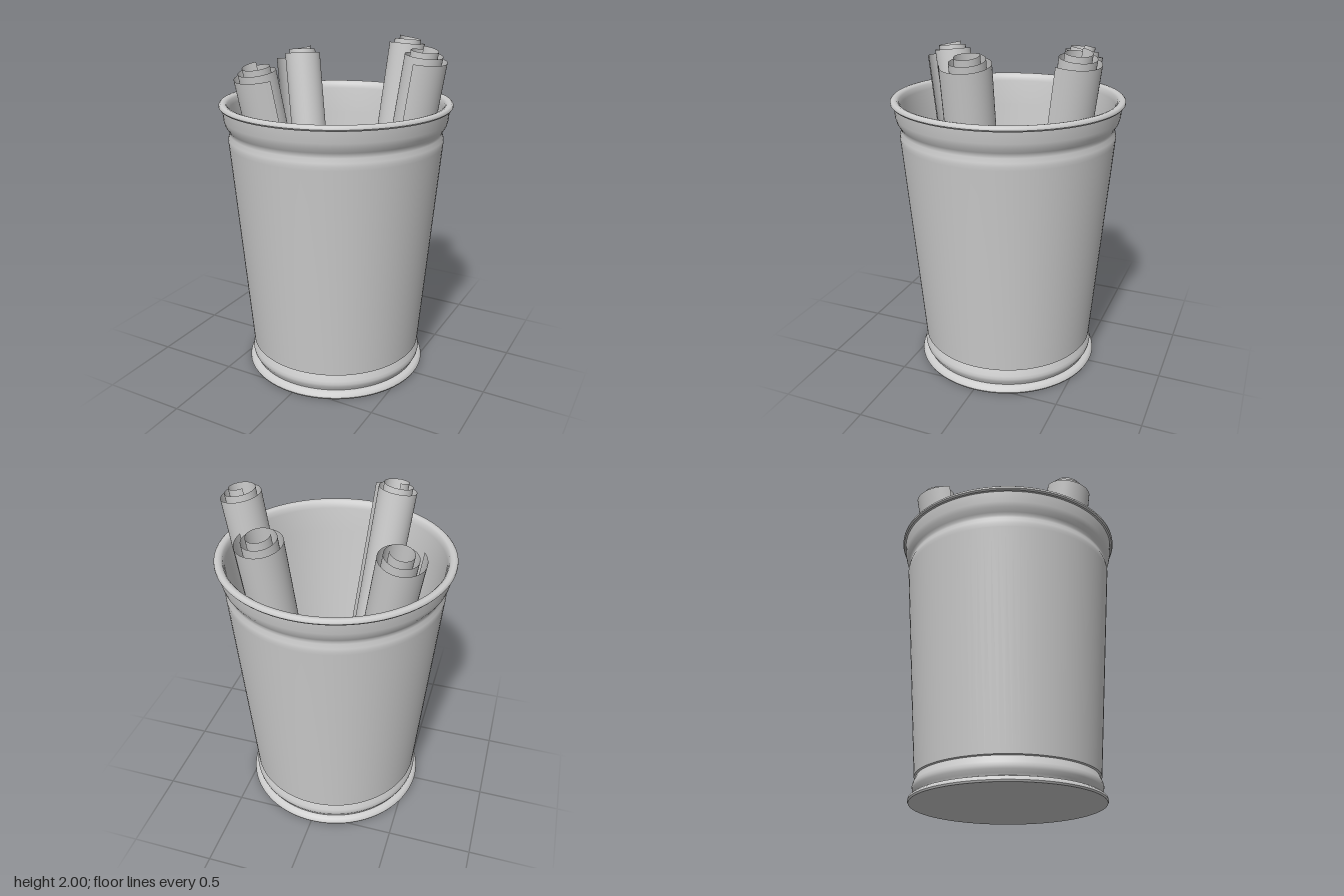
import * as THREE from 'three';
import { toCreasedNormals } from 'three/addons/utils/BufferGeometryUtils.js';

const grey = new THREE.MeshStandardMaterial({ color: 0xcccccc });
grey.name = 'light grey';
const greySheet = grey.clone();
greySheet.side = THREE.DoubleSide;

// Tapered bin: outside from the base up, over the rolled rim, down the inside to the floor
function createBin() {
  const profile = [
    [0, 0], [0.55, 0], [0.555, 0.01], [0.552, 0.022], [0.54, 0.033], [0.515, 0.04],
    [0.52, 0.052], [0.531, 0.07], [0.534, 0.087], [0.53, 0.105], [0.519, 0.13], [0.515, 0.142],
    [0.526, 0.146], [0.628, 1.42], [0.63, 1.44], [0.628, 1.46], [0.62, 1.485], [0.62, 1.5],
    [0.628, 1.515], [0.643, 1.54], [0.651, 1.57], [0.657, 1.635],
    [0.668, 1.636], [0.675, 1.645], [0.674, 1.656], [0.666, 1.664], [0.652, 1.666],
    [0.637, 1.662], [0.627, 1.65], [0.621, 1.62], [0.61, 1.47], [0.455, 0.045], [0, 0.045],
  ].map(([r, y]) => new THREE.Vector2(r, y));
  const geometry = toCreasedNormals(new THREE.LatheGeometry(profile, 96), 0.7);
  const bin = new THREE.Mesh(geometry, grey);
  bin.name = 'bin';
  return bin;
}

// Sheet rolled into a spiral; the inner turns stand a little higher than the outer ones
function createSheet(length, side) {
  const turns = 2.6, steps = 110;
  const positions = [], indices = [];
  for (let i = 0; i <= steps; i++) {
    const turn = (i / steps) * turns;
    const angle = Math.PI / 2 - turn * Math.PI * 2;
    const loose = Math.max(0, 1 - turn / 0.3); // free edge lifts off the roll
    const radius = 0.132 - 0.072 * (turn / turns) + 0.034 * loose * loose;
    const drop = -0.065 * (1 - turn / turns);
    const x = Math.cos(angle) * radius, z = Math.sin(angle) * radius * side;
    positions.push(x, drop, z, x, length + drop, z);
    if (i < steps) {
      const a = i * 2;
      // mirrored rolls need the opposite winding
      if (side > 0) indices.push(a, a + 2, a + 1, a + 1, a + 2, a + 3);
      else indices.push(a, a + 1, a + 2, a + 1, a + 3, a + 2);
    }
  }
  const geometry = new THREE.BufferGeometry();
  geometry.setAttribute('position', new THREE.Float32BufferAttribute(positions, 3));
  geometry.setIndex(indices);
  geometry.computeVertexNormals();
  return geometry;
}

// Place a roll so that its axis leans from a point on the floor out to the rim
function createRoll(name, bottom, top, side) {
  const base = new THREE.Vector3(...bottom);
  const axis = new THREE.Vector3(...top).sub(base);
  const length = axis.length();
  axis.normalize();
  const lean = new THREE.Vector3(axis.x, 0, axis.z);
  lean.addScaledVector(axis, -lean.dot(axis)).normalize();
  const across = new THREE.Vector3().crossVectors(lean, axis);
  const roll = new THREE.Mesh(createSheet(length, side), greySheet);
  roll.name = name;
  roll.quaternion.setFromRotationMatrix(new THREE.Matrix4().makeBasis(lean, axis, across));
  roll.position.copy(base);
  return roll;
}

export function createModel() {
  const model = new THREE.Group();
  model.name = 'binWithPaperRolls';
  model.add(
    createBin(),
    createRoll('leftPaperRoll', [0.26, 0.13, 0], [0.545, 1.99, -0.005], 1),
    createRoll('backPaperRoll', [0.1, 0.13, -0.24], [0.24, 1.99, -0.495], 1),
    createRoll('rightPaperRoll', [-0.145, 0.13, -0.1], [-0.43, 1.91, -0.325], -1),
    createRoll('frontPaperRoll', [-0.055, 0.13, 0.17], [-0.235, 1.91, 0.475], -1),
  );
  return model;
}
